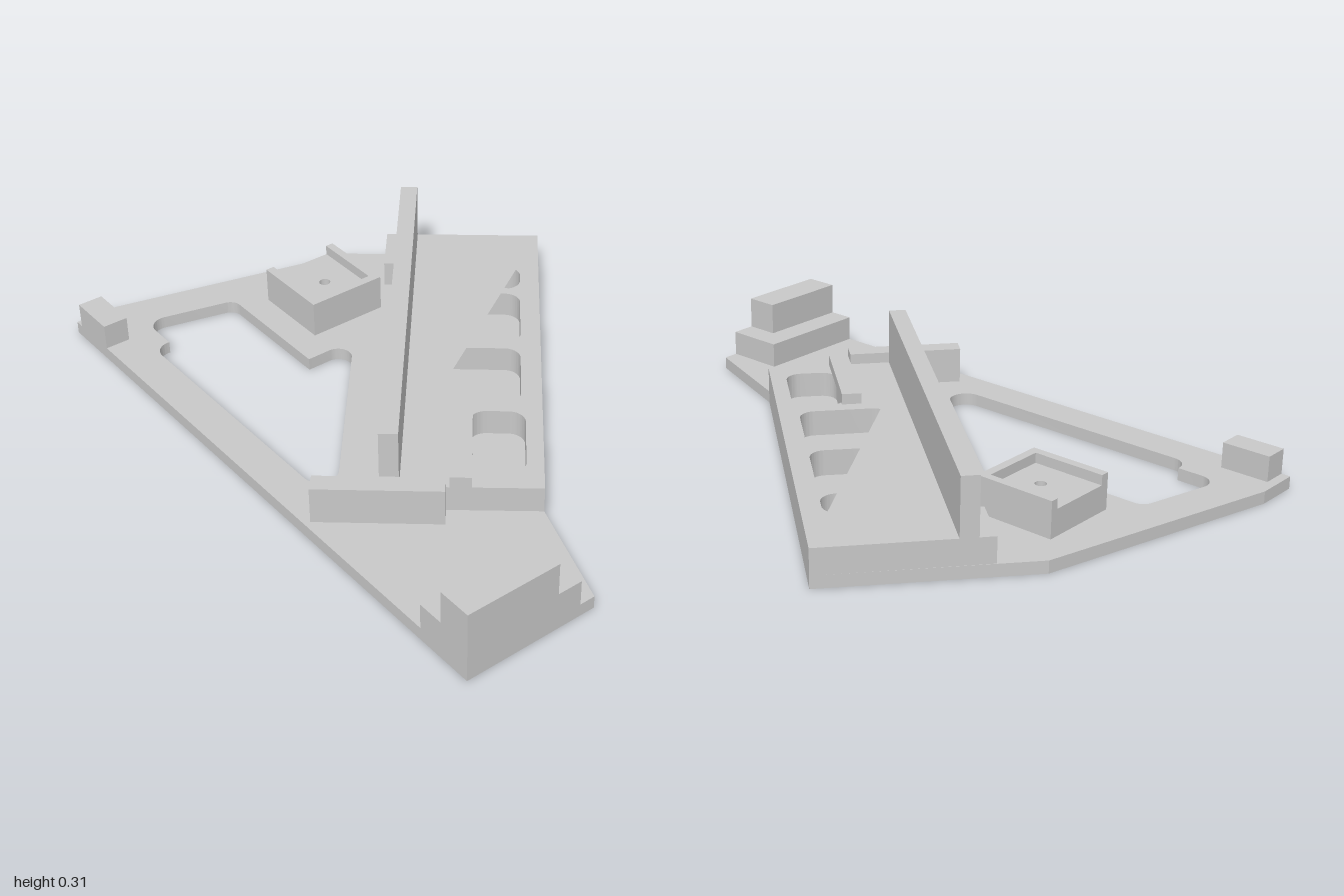
import * as THREE from 'three';
import { toCreasedNormals } from 'three/addons/utils/BufferGeometryUtils.js';

// Outline from plan corners [x, z, radius]; each corner may be rounded.
function trace(path, corners) {
  const pts = corners.map(([x, z]) => new THREE.Vector2(x, -z));
  const n = pts.length;
  pts.forEach((p, i) => {
    const r = corners[i][2] || 0;
    const a = pts[(i + n - 1) % n].clone().sub(p).normalize();
    const b = pts[(i + 1) % n].clone().sub(p).normalize();
    const angle = Math.acos(a.dot(b));
    const t = r / Math.tan(angle / 2);
    const h = t - (4 / 3) * Math.tan((Math.PI - angle) / 4) * r;
    const at = (d, s) => p.clone().addScaledVector(d, s);
    const start = at(a, t);
    if (i === 0) path.moveTo(start.x, start.y);
    else path.lineTo(start.x, start.y);
    if (r > 0) {
      const c1 = at(a, h), c2 = at(b, h), end = at(b, t);
      path.bezierCurveTo(c1.x, c1.y, c2.x, c2.y, end.x, end.y);
    }
  });
  path.closePath();
  return path;
}

const hole = (corners) => trace(new THREE.Path(), corners);
const drill = (x, z, r) => new THREE.Path().absarc(x, -z, r, 0, Math.PI * 2, true);
const rect = (x0, x1, z0, z1) => [[x0, z0], [x1, z0], [x1, z1], [x0, z1]];

// Rounded pocket aligned with the slanted deck: w along it, d across it.
function pocket(cx, cz, w, d, r) {
  const u = [0.645, -0.764], v = [0.764, 0.645];
  return hole([[-1, -1], [1, -1], [1, 1], [-1, 1]].map(([i, j]) => [
    cx + (i * w * u[0] + j * d * v[0]) / 2,
    cz + (i * w * u[1] + j * d * v[1]) / 2, r]));
}

export function createModel() {
  const model = new THREE.Group();
  model.name = 'bracketPlate';
  const grey = new THREE.MeshStandardMaterial({ color: 0xc8c8c8 });
  grey.name = 'grey';

  // Upright prism between heights y0 and y1; corners run clockwise in plan
  // and are reversed so that the walls of the holes face into the holes.
  function slab(name, corners, y0, y1, holes = []) {
    const shape = trace(new THREE.Shape(), [...corners].reverse());
    shape.holes.push(...holes);
    const raw = new THREE.ExtrudeGeometry(shape, { depth: y1 - y0, bevelEnabled: false, curveSegments: 20 });
    raw.rotateX(-Math.PI / 2).translate(0, y0, 0);
    const mesh = new THREE.Mesh(toCreasedNormals(raw, 0.2), grey);
    mesh.name = name;
    model.add(mesh);
  }

  // Base plate with the large opening and wide screw recesses underneath
  slab('basePlate',
    [[-0.714, -1], [-0.57, -1], [0.213, -0.8], [0.714, -0.38], [-0.155, 0.655], [-0.28, 1], [-0.714, 1]],
    0, 0.04, [
      hole([[-0.541, -0.865, 0.05], [-0.247, -0.79, 0.04], [-0.247, -0.362], [-0.073, -0.362, 0.045],
        [-0.597, 0.267, 0.055], [-0.597, -0.717, 0.05], [-0.541, -0.717]]),
      drill(0.354, -0.568, 0.029), drill(0.464, -0.477, 0.029), drill(-0.022, -0.588, 0.034),
      drill(-0.446, 0.92, 0.029), drill(-0.58, 0.92, 0.029),
    ]);

  // Raised deck with four pockets and two screw holes
  slab('deck', [[0.36, -0.675], [0.714, -0.38], [-0.155, 0.655], [-0.51, 0.36]], 0.04, 0.122, [
    pocket(0.388, -0.304, 0.13, 0.28, 0.05),
    pocket(0.236, -0.125, 0.28, 0.28, 0.05),
    pocket(0.036, 0.112, 0.28, 0.28, 0.05),
    pocket(-0.122, 0.409, 0.29, 0.165, 0.05),
    drill(0.354, -0.568, 0.014), drill(0.464, -0.477, 0.014),
  ]);

  // Tall wall, the ledge behind it and the low rail on the deck
  slab('wall', [[0.36, -0.675], [0.402, -0.64], [-0.467, 0.395], [-0.51, 0.36]], 0.122, 0.306);
  slab('ledge', [[0.322, -0.706], [0.36, -0.675], [0.238, -0.53], [0.2, -0.561]], 0.04, 0.122);
  slab('rail', [[-0.36, 0.485], [-0.133, 0.212], [-0.085, 0.252], [-0.312, 0.525]], 0.122, 0.157);

  // Cross bar at the end of the wall
  slab('crossBar', [[-0.695, 0.285], [-0.655, 0.24], [-0.367, 0.479], [-0.407, 0.527]], 0.04, 0.157);

  // Stepped front block and small rear block
  slab('frontStep', rect(-0.714, -0.33, 0.808, 1), 0.04, 0.122);
  slab('frontBlock', rect(-0.714, -0.41, 0.892, 1), 0.122, 0.226);
  slab('rearBlock', rect(-0.714, -0.633, -0.97, -0.81), 0.04, 0.122);

  // Socket pad: drilled floor with a rim open to the rear
  slab('padFloor', rect(-0.156, 0.108, -0.725, -0.459), 0.04, 0.125, [drill(-0.022, -0.588, 0.018)]);
  slab('padRim', [[-0.156, -0.725], [-0.128, -0.725], [-0.128, -0.487], [0.082, -0.487],
    [0.082, -0.725], [0.108, -0.725], [0.108, -0.459], [-0.156, -0.459]], 0.125, 0.157);

  return model;
}
